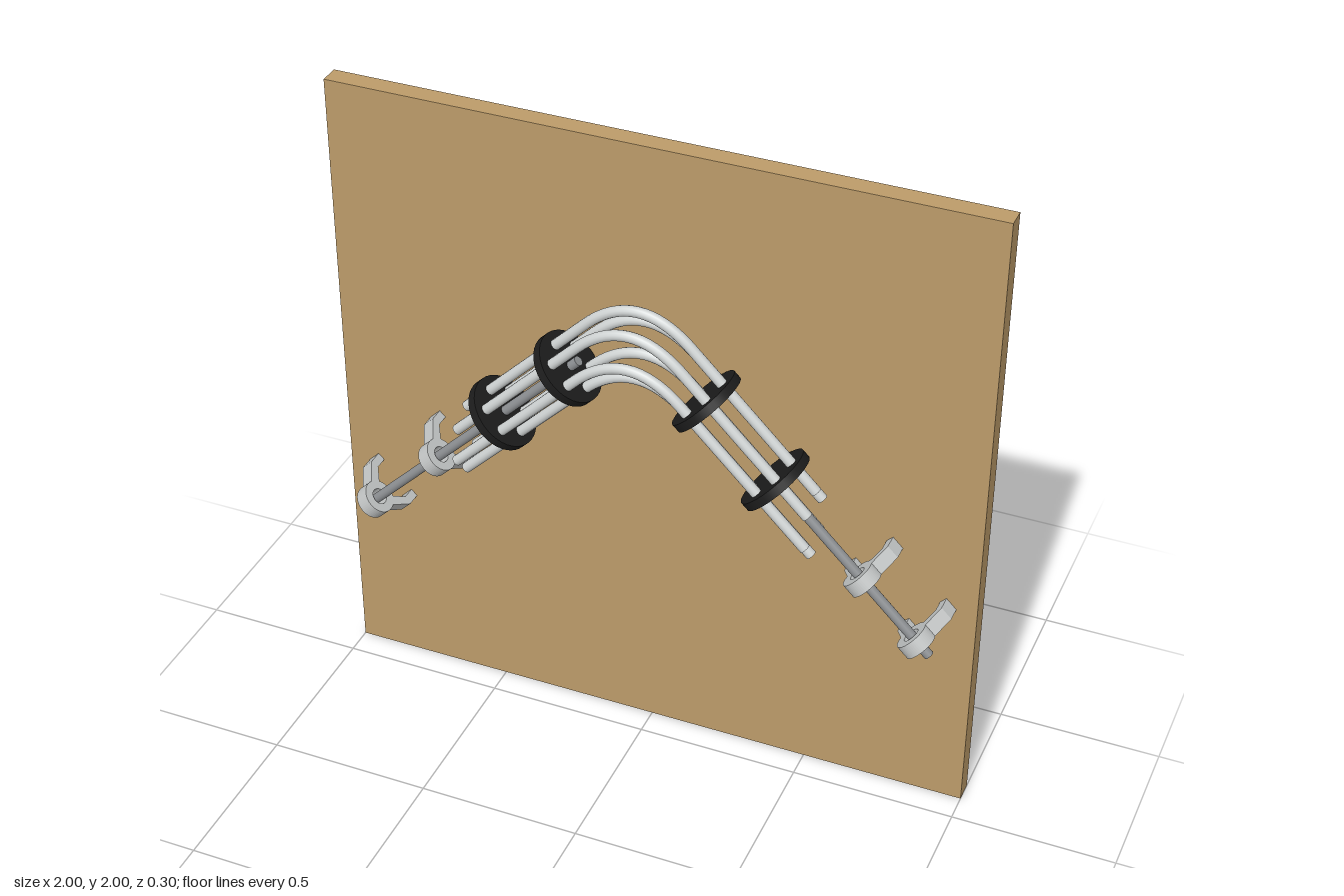
import * as THREE from 'three';

const mat = (name, color, side = THREE.FrontSide) => {
  const m = new THREE.MeshStandardMaterial({ color, side });
  m.name = name;
  return m;
};

export function createModel() {
  const wood = mat('wood', 0xbc9b69);
  const strandGrey = mat('light grey strand', 0xcfd3d3);
  const rodGrey = mat('dark grey rod', 0x8c8f92);
  const clampGrey = mat('clamp grey', 0xc2c5c5);
  const black = mat('black', 0x1c1c1c);

  const model = new THREE.Group();
  const add = (parent, name, geometry, material, x = 0, y = 0, z = 0) => {
    const mesh = new THREE.Mesh(geometry, material);
    mesh.name = name;
    mesh.position.set(x, y, z);
    parent.add(mesh);
    return mesh;
  };

  const apexY = 1.52, axisZ = 0.035; // where the two arm axes meet

  // Backboard: solid front and a back layer with six blind screw holes
  add(model, 'boardFront', new THREE.BoxGeometry(2, 2, 0.04), wood, 0, 1, -0.106);
  const back = new THREE.Shape([
    new THREE.Vector2(-1, 0), new THREE.Vector2(1, 0),
    new THREE.Vector2(1, 2), new THREE.Vector2(-1, 2),
  ]);
  for (const x of [-0.95, 0.95]) for (const y of [0.05, 1, 1.95]) {
    const hole = new THREE.Path();
    hole.absarc(x, y, 0.013, 0, Math.PI * 2, true);
    back.holes.push(hole);
  }
  add(model, 'boardBack', new THREE.ExtrudeGeometry(back, { depth: 0.022, bevelEnabled: false }),
    wood, 0, 0, -0.148);

  // Six bent strands spaced around the axis
  const bend = 0.16, end = 0.54, radius = 0.016;
  const v = (x, y) => new THREE.Vector3(x, y, 0);
  const path = new THREE.CurvePath();
  path.add(new THREE.LineCurve3(v(-end, -end), v(-bend, -bend)));
  path.add(new THREE.QuadraticBezierCurve3(v(-bend, -bend), v(0, 0), v(bend, -bend)));
  path.add(new THREE.LineCurve3(v(bend, -bend), v(end, -end)));
  const strandGeo = new THREE.TubeGeometry(path, 72, radius, 14);
  const capGeo = new THREE.CircleGeometry(radius, 14);
  for (let i = 0; i < 6; i++) {
    const a = THREE.MathUtils.degToRad(98 + i * 60);
    const strand = new THREE.Group();
    strand.name = 'strand';
    strand.position.set(0, apexY + 0.074 * Math.sin(a) * Math.SQRT2, axisZ + 0.074 * Math.cos(a));
    add(strand, 'strandTube', strandGeo, strandGrey);
    for (const s of [-1, 1]) {
      const cap = add(strand, 'strandEnd', capGeo, strandGrey, s * end, -end, 0);
      cap.quaternion.setFromUnitVectors(new THREE.Vector3(0, 0, 1), v(s, -1).normalize());
    }
    model.add(strand);
  }

  // Clamp outline: round eye with two legs that flare out to the board
  const eye = 0.052, open = Math.PI * 0.3;
  const clampShape = new THREE.Shape();
  clampShape.moveTo(0.088, -0.121);
  clampShape.lineTo(0.088, -0.075);
  clampShape.lineTo(eye * Math.cos(0.35), -eye * Math.sin(0.35));
  clampShape.absarc(0, 0, eye, -0.35, Math.PI + 0.35, false);
  clampShape.lineTo(-0.088, -0.075);
  clampShape.lineTo(-0.088, -0.121);
  clampShape.lineTo(-0.062, -0.121);
  clampShape.lineTo(-0.062, -0.08);
  clampShape.lineTo(-eye * Math.cos(open), -eye * Math.sin(open));
  clampShape.absarc(0, 0, eye, Math.PI + open, Math.PI * 2 - open, false);
  clampShape.lineTo(0.062, -0.08);
  clampShape.lineTo(0.062, -0.121);
  const eyeHole = new THREE.Path();
  eyeHole.absarc(0, 0, 0.025, 0, Math.PI * 2, true);
  clampShape.holes.push(eyeHole);
  const clampGeo = new THREE.ExtrudeGeometry(clampShape,
    { depth: 0.044, bevelEnabled: false, curveSegments: 16 });
  clampGeo.translate(0, 0, -0.022).rotateX(Math.PI / 2);

  // Two sloping arms; local y runs down each arm from the apex
  const discGeo = new THREE.CylinderGeometry(0.114, 0.114, 0.027, 40);
  const rodStart = 0.25, rodEnd = 1.275;
  const rodGeo = new THREE.CylinderGeometry(0.015, 0.015, rodEnd - rodStart, 16);
  for (const s of [-1, 1]) {
    const arm = new THREE.Group();
    arm.name = s > 0 ? 'leftArm' : 'rightArm';
    arm.position.set(0, apexY, axisZ);
    arm.rotation.z = -s * Math.PI * 0.75;
    add(arm, 'centreRod', rodGeo, rodGrey, 0, (rodStart + rodEnd) / 2, 0);
    for (const t of [0.297, 0.594]) add(arm, 'spacerDisc', discGeo, black, 0, t, 0);
    for (const t of [s > 0 ? 0.976 : 0.908, 1.216]) add(arm, 'clamp', clampGeo, clampGrey, 0, t, 0);
    model.add(arm);
  }
  return model;
}
